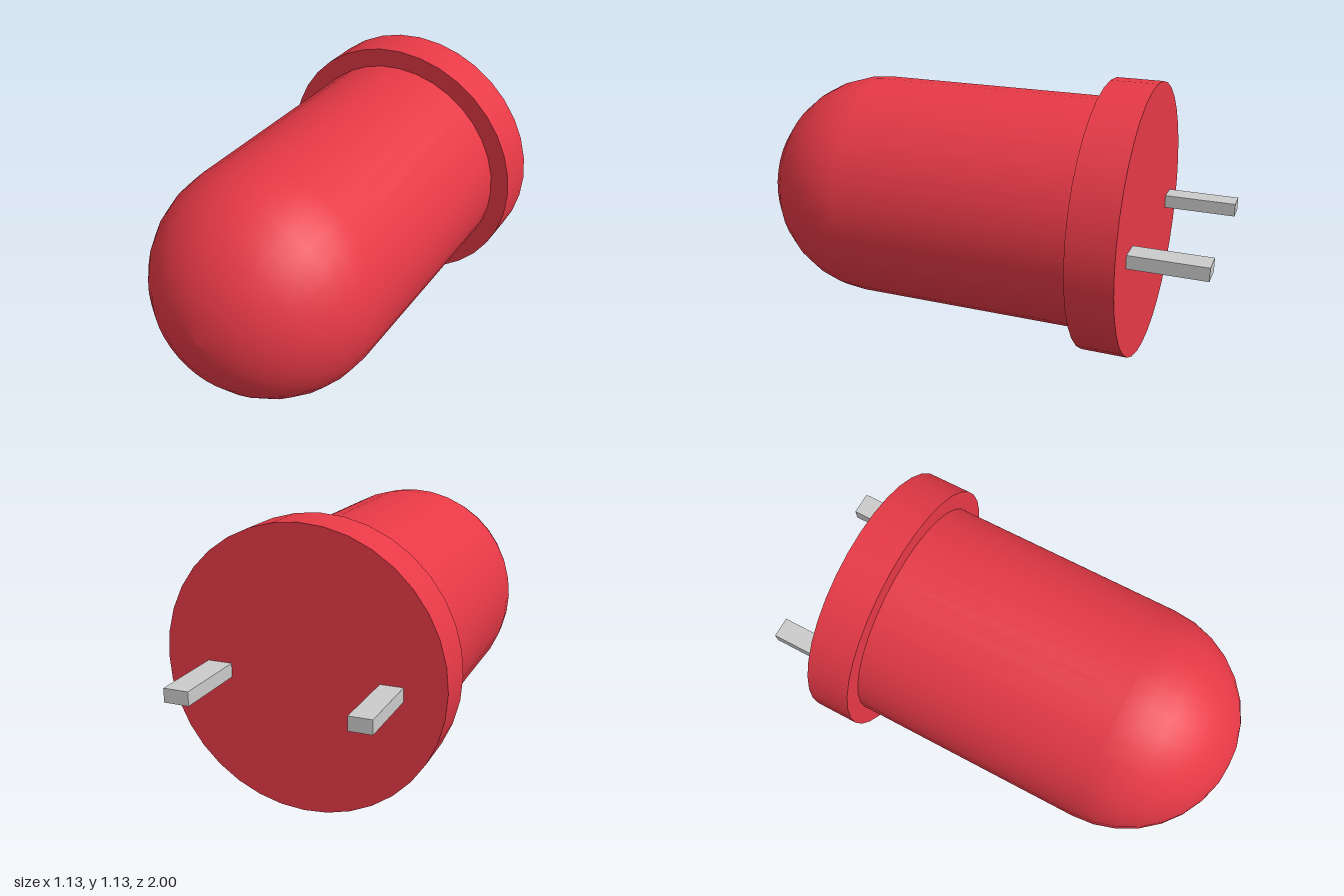
import * as THREE from 'three';

const SIDES = 36;
const CENTRE_Y = 0.565;

export function createModel() {
  const model = new THREE.Group();
  model.name = 'ledBulb';
  const red = new THREE.MeshStandardMaterial({ color: 0xe63946 });
  const grey = new THREE.MeshStandardMaterial({ color: 0xcccccc });

  const add = (name, geometry, material, x, y, z) => {
    const mesh = new THREE.Mesh(geometry, material);
    mesh.name = name;
    mesh.position.set(x, y, z);
    model.add(mesh);
  };

  // Lens: straight barrel ending in a hemispherical dome, turned to face +z
  const radius = 0.485, domeZ = 0.515, steps = 8;
  const profile = [new THREE.Vector2(radius, -0.5)];
  for (let i = 0; i <= steps; i++) {
    const a = (i / steps) * Math.PI / 2;
    profile.push(new THREE.Vector2(i === steps ? 0 : radius * Math.cos(a), domeZ + radius * Math.sin(a)));
  }
  add('lens', new THREE.LatheGeometry(profile, SIDES).rotateX(Math.PI / 2), red, 0, CENTRE_Y, 0);

  // Wider rim disc behind the lens
  add('rim', new THREE.CylinderGeometry(0.565, 0.565, 0.19, SIDES).rotateX(Math.PI / 2), red, 0, CENTRE_Y, -0.595);

  // Two flat contact pins, sunk slightly into the rim
  const pinFront = -0.67;
  for (const [name, x, width, back] of [['rightPin', -0.355, 0.09, -0.99], ['leftPin', 0.34, 0.1, -1]]) {
    add(name, new THREE.BoxGeometry(width, 0.055, pinFront - back), grey, x, 0.538, (pinFront + back) / 2);
  }

  return model;
}
